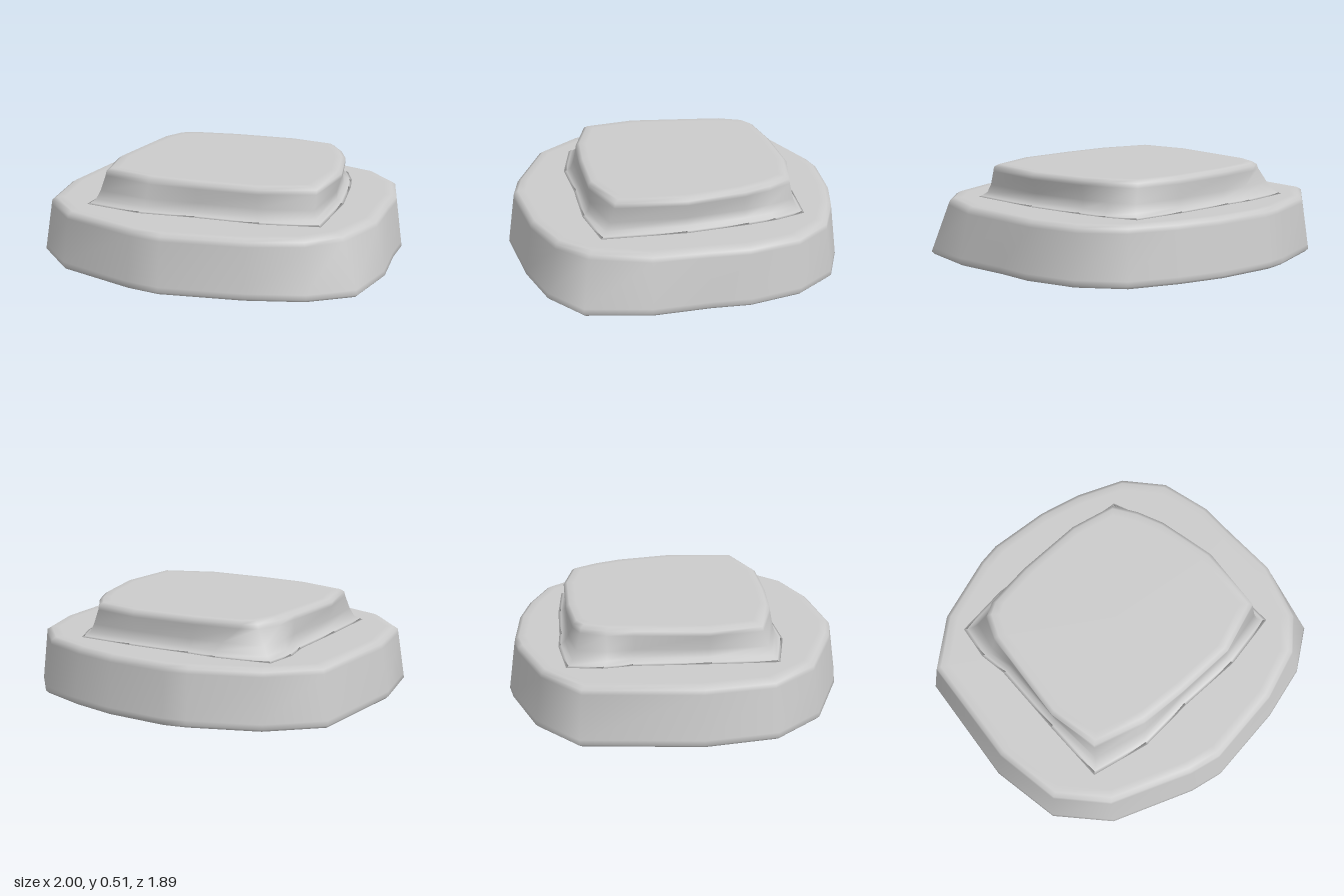
import * as THREE from 'three';

// Outlines as [x, z], starting at the back and running towards +x.
const BASE_FOOT = [
  [-0.14, -0.95], [0.21, -0.92], [0.47, -0.85], [0.74, -0.74], [0.91, -0.52], [0.985, -0.23], [0.98, -0.02],
  [1, 0.3], [0.93, 0.65], [0.7, 0.81], [0.39, 0.89], [-0.07, 0.94], [-0.26, 0.9], [-0.71, 0.72],
  [-0.94, 0.46], [-1, 0.06], [-0.92, -0.59], [-0.65, -0.81], [-0.27, -0.93],
];
const BASE_RIM = [
  [-0.13, -0.91], [0.21, -0.88], [0.45, -0.82], [0.71, -0.71], [0.88, -0.51], [0.945, -0.23], [0.94, -0.02],
  [0.94, 0.29], [0.83, 0.6], [0.67, 0.75], [0.38, 0.85], [-0.07, 0.9], [-0.25, 0.86], [-0.69, 0.68],
  [-0.9, 0.44], [-0.95, 0.06], [-0.88, -0.57], [-0.63, -0.77], [-0.26, -0.89],
];
const STEP_FOOT = [
  [-0.28, -0.63], [-0.12, -0.62], [0.23, -0.615], [0.53, -0.59], [0.59, -0.43], [0.62, -0.28], [0.66, 0.05],
  [0.65, 0.48], [0.35, 0.53], [0, 0.525], [-0.3, 0.54], [-0.61, 0.47], [-0.6, 0.13], [-0.58, -0.27],
  [-0.6, -0.42], [-0.57, -0.6],
];
const STEP_RIM = [
  [-0.42, -0.59], [-0.15, -0.62], [0.23, -0.62], [0.49, -0.56], [0.57, -0.43], [0.63, -0.28], [0.69, 0.05],
  [0.645, 0.43], [0.35, 0.53], [0, 0.53], [-0.28, 0.51], [-0.57, 0.42], [-0.62, 0.13], [-0.57, -0.27],
  [-0.55, -0.42], [-0.49, -0.55],
];

// Skins rings blended from the lower to the upper outline; level = [y, blend, scale].
function loft(name, lower, upper, levels, center) {
  const n = lower.length;
  const pos = [];
  const index = [];
  for (const [y, t, s] of levels) {
    for (let i = 0; i < n; i++) {
      const p = [0, 1].map((k) => {
        const v = lower[i][k] + (upper[i][k] - lower[i][k]) * t;
        return center[k] + (v - center[k]) * s;
      });
      pos.push(p[0], y, p[1]);
    }
  }
  const last = (levels.length - 1) * n;
  const bottom = levels.length * n;
  pos.push(center[0], levels[0][0], center[1]);
  pos.push(center[0], levels[levels.length - 1][0], center[1]);
  for (let i = 0; i < n; i++) {
    const j = (i + 1) % n;
    for (let r = 0; r < last; r += n) {
      index.push(r + i, r + n + i, r + j, r + j, r + n + i, r + n + j);
    }
    index.push(bottom, i, j, bottom + 1, last + j, last + i);
  }
  const geo = new THREE.BufferGeometry();
  geo.setAttribute('position', new THREE.Float32BufferAttribute(pos, 3));
  geo.setIndex(index);
  geo.computeVertexNormals();
  const mesh = new THREE.Mesh(geo, new THREE.MeshStandardMaterial({ color: 0xcccccc }));
  mesh.name = name;
  return mesh;
}

export function createModel() {
  const group = new THREE.Group();
  group.name = 'steppedStone';

  // Wide tapered slab with softened edges
  group.add(loft('baseSlab', BASE_FOOT, BASE_RIM, [
    [0, 0, 0.96], [0, 0, 0.985], [0.015, 0, 1], [0.04, 0.08, 1],
    [0.28, 0.9, 1], [0.305, 1, 1], [0.32, 1, 0.975], [0.32, 1, 0.93],
  ], [0, 0]));

  // Smaller raised step with a flared foot blending into the slab
  group.add(loft('upperStep', STEP_FOOT, STEP_RIM, [
    [0.316, 0, 1.09], [0.325, 0, 1.045], [0.345, 0, 1.005], [0.39, 0.25, 0.99],
    [0.47, 0.9, 1], [0.495, 1, 1], [0.51, 1, 0.965], [0.51, 1, 0.9],
  ], [0.03, -0.04]));

  return group;
}
